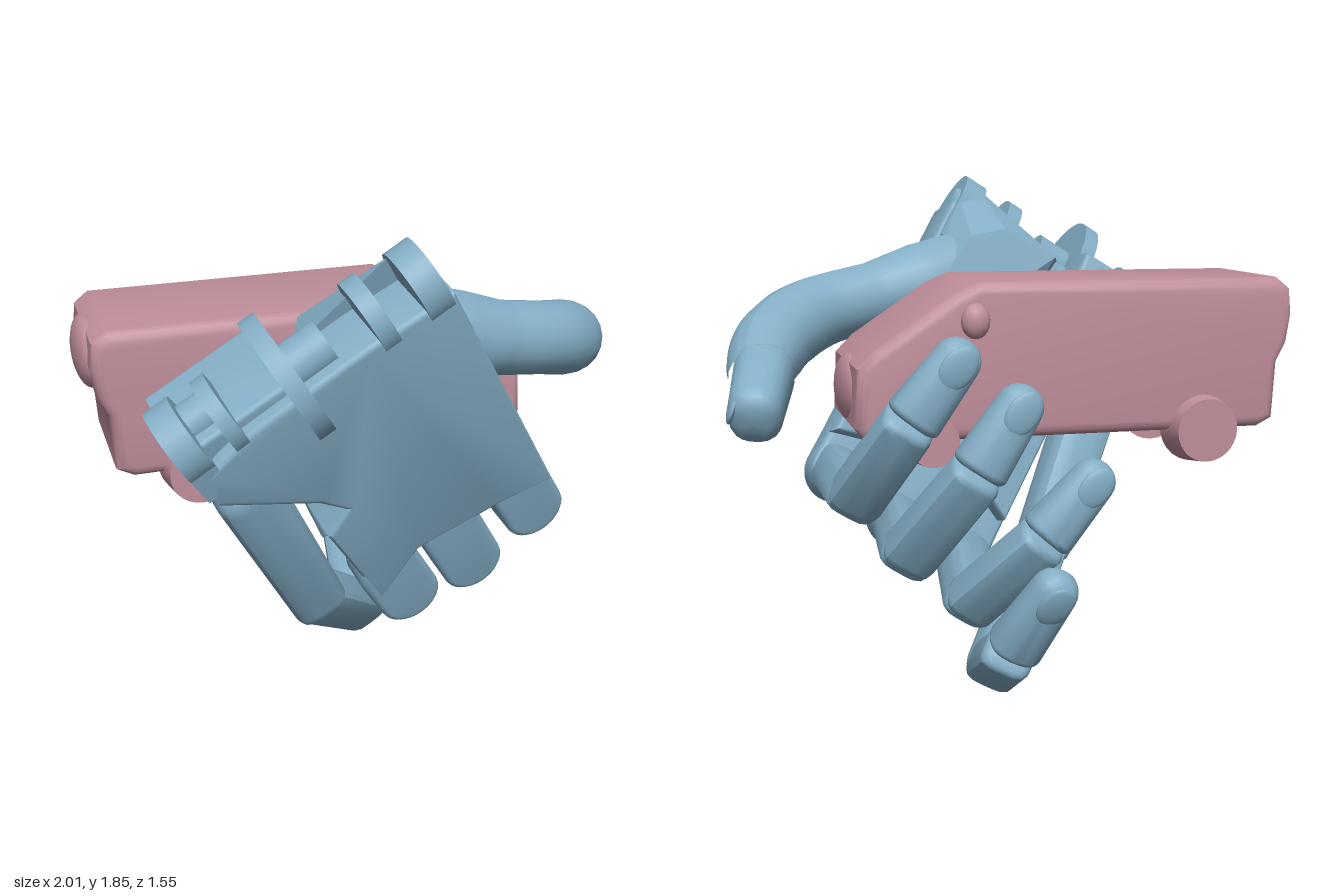
import * as THREE from 'three';
import { mergeVertices, toCreasedNormals } from 'three/addons/utils/BufferGeometryUtils.js';
import { ConvexGeometry } from 'three/addons/geometries/ConvexGeometry.js';

const V = (x, y, z) => new THREE.Vector3(x, y, z);
const blue = new THREE.MeshStandardMaterial({ color: 0x84aec6 });
const pink = new THREE.MeshStandardMaterial({ color: 0xc08f9b });

// palm frame: U runs along the wrist, W up the hand, N out of the back of the hand
const N = V(0.136, -0.248, 0.959).normalize();
const U = V(0.85, 0.53, 0.017).normalize();
const W = N.clone().cross(U).normalize();
const FACE = 0.222; // height of the back of the hand along N

function mesh(geometry, name, material, parent) {
  const m = new THREE.Mesh(geometry, material);
  m.name = name;
  parent.add(m);
  return m;
}

// point on the back of the hand at x, y, in palm coordinates
function onPalm([x, y]) {
  const p = V(x, y, (FACE - N.x * x - N.y * y) / N.z);
  return new THREE.Vector2(p.dot(U), p.dot(W));
}

// plate cut to an outline, its outer face `drop` below the back of the hand
function plate(shape, depth, drop = 0) {
  const bevel = 0.02;
  const g = new THREE.ExtrudeGeometry(shape, {
    depth: depth - 2 * bevel, bevelEnabled: true, bevelThickness: bevel,
    bevelSize: bevel, bevelOffset: -bevel, bevelSegments: 3, curveSegments: 16,
  });
  g.translate(0, 0, FACE - drop - depth + bevel);
  return toCreasedNormals(g, 0.6);
}

// strip with round ends between two points of the palm
function lobe(a, b, r) {
  const p = onPalm(a), q = onPalm(b);
  const t = Math.atan2(q.y - p.y, q.x - p.x);
  const s = new THREE.Shape();
  s.absarc(q.x, q.y, r, t - Math.PI / 2, t + Math.PI / 2, false);
  s.absarc(p.x, p.y, r, t + Math.PI / 2, t + Math.PI * 1.5, false);
  s.closePath();
  return s;
}

// bone with a squarish section, tapering from radius ra at a to rb at b
function bone(a, b, ra, rb, side, roundA = 0.5, roundB = 0.5, square = 4) {
  const axis = b.clone().sub(a), len = axis.length();
  axis.normalize();
  const pts = [];
  for (let i = 0; i <= 5; i++) {
    const t = (i / 5) * Math.PI / 2;
    pts.push(new THREE.Vector2(i ? ra * (1 - roundA + roundA * Math.sin(t)) : 0, -ra * roundA * Math.cos(t)));
  }
  for (let i = 0; i <= 5; i++) {
    const t = (i / 5) * Math.PI / 2;
    pts.push(new THREE.Vector2(i < 5 ? rb * (1 - roundB + roundB * Math.cos(t)) : 0, len + rb * roundB * Math.sin(t)));
  }
  let g = new THREE.LatheGeometry(pts, 24);
  g.deleteAttribute('uv');
  g.deleteAttribute('normal');
  const pos = g.attributes.position;
  for (let i = 0; i < pos.count; i++) {
    const x = pos.getX(i), z = pos.getZ(i), r = Math.hypot(x, z);
    if (r < 1e-6) continue;
    const k = Math.pow(Math.abs(x / r) ** square + Math.abs(z / r) ** square, -1 / square);
    pos.setX(i, x * k * 1.05);
    pos.setZ(i, z * k * 0.92);
  }
  g = mergeVertices(g, 1e-5);
  const across = side.clone().addScaledVector(axis, -side.dot(axis)).normalize();
  const out = across.clone().cross(axis);
  g.applyMatrix4(new THREE.Matrix4().makeBasis(across, axis, out).setPosition(a));
  return toCreasedNormals(g, 0.6);
}

// flat oval nail lying on the outside of a fingertip
function nail(a, b, outward, r, parent) {
  const axis = b.clone().sub(a).normalize();
  const out = outward.clone().addScaledVector(axis, -outward.dot(axis)).normalize();
  const g = new THREE.SphereGeometry(1, 20, 12);
  g.scale(r * 0.72, r, r * 0.2);
  const centre = b.clone().addScaledVector(axis, -r * 0.2).addScaledVector(out, r * 0.84);
  g.applyMatrix4(new THREE.Matrix4().makeBasis(axis.clone().cross(out), axis, out).setPosition(centre));
  mesh(g, 'nail', blue, parent);
}

function makePalm() {
  const palm = new THREE.Group();
  palm.name = 'palm';
  palm.applyMatrix4(new THREE.Matrix4().makeBasis(U, W, N));
  const outline = [[0.1, 1.7], [0.62, 0.87], [0.4, 0.8], [0.1, 0.68], [-0.03, 0.48], [-0.26, 0.83],
    [-0.2, 0.93], [-0.3, 0.98], [-0.66, 1.06], [-0.69, 1.18], [-0.56, 1.31], [-0.18, 1.55]];
  mesh(plate(new THREE.Shape(outline.map(onPalm)), 0.24), 'palmPlate', blue, palm);
  // knuckle lobes
  [[[0.46, 0.9], [0.575, 0.725]], [[0.23, 0.72], [0.345, 0.535]], [[0, 0.6], [0.095, 0.45]]].forEach(([a, b]) =>
    mesh(plate(lobe(a, b, 0.118), 0.15, 0.002), 'knuckle', blue, palm));
  // pad on the inside of the wrist
  const heel = [[-0.76, 1.23], [-0.38, 1.46], [-0.24, 1.22], [-0.58, 1.04]];
  mesh(plate(new THREE.Shape(heel.map(onPalm)), 0.35, 0.05), 'heelPad', blue, palm);
  // wedge that carries the thumb
  const wide = [[-0.34, 1.46], [-0.03, 1.74], [0.07, 1.75], [0.45, 1.12], [0.05, 1.0]];
  const narrow = [[-0.24, 1.44], [-0.04, 1.55], [0.1, 1.53], [0.26, 1.32], [0.05, 1.28]];
  const corners = [[wide, 0.2], [narrow, 0.4]].flatMap(([ring, d]) => ring.map(p => {
    const q = onPalm(p);
    return V(q.x, q.y, FACE - d);
  }));
  mesh(new ConvexGeometry(corners), 'thumbMount', blue, palm);
  // wrist hinge: lugs on webs, one large disc, and short spacers
  const hinge = (x, radius, width, sink, name) => {
    const q = onPalm([x, 1.25 + (x + 0.72) * 0.565]);
    const m = mesh(new THREE.CylinderGeometry(radius, radius, width, 36), name, blue, palm);
    m.rotation.z = Math.PI / 2;
    m.position.set(q.x, q.y, FACE - sink);
    return q;
  };
  [[0.04, 0.09], [-0.12, 0.06], [-0.6, 0.05], [-0.73, 0.09]].forEach(([x, w]) => {
    const q = hinge(x, 0.135, w, 0.125, 'wristLug');
    const web = mesh(new THREE.BoxGeometry(w, 0.16, 0.26), 'lugWeb', blue, palm);
    web.position.set(q.x, q.y - 0.09, FACE - 0.132);
  });
  hinge(-0.4, 0.22, 0.06, 0.1, 'wristDisc');
  hinge(-0.32, 0.08, 0.14, 0.13, 'wristSpacer');
  hinge(-0.67, 0.07, 0.14, 0.17, 'wristSpacer');
  return palm;
}

function makeFinger(name, joints, r) {
  const g = new THREE.Group();
  g.name = name;
  const [a, b, c, d] = joints.map(p => V(...p));
  mesh(bone(a, b, r, r * 0.97, U, 0.9, 0.6), 'lowerBone', blue, g);
  mesh(bone(b, c, r * 0.97, r * 0.9, U, 0.6, 0.4), 'middleBone', blue, g);
  mesh(bone(c.clone().lerp(d, 0.12), d.clone().lerp(c, 0.2), r * 0.97, r * 0.8, U, 0.3, 1, 2.6), 'fingertip', blue, g);
  nail(c, d.clone().lerp(c, 0.2), V(-0.1, 0.1, -1), r * 0.84, g);
  return g;
}

function makeThumb() {
  const g = new THREE.Group();
  g.name = 'thumb';
  const path = [[0.05, 1.47, 0.37], [0.22, 1.44, 0.32], [0.43, 1.4, 0.28], [0.64, 1.355, 0.21],
    [0.79, 1.29, 0.06], [0.865, 1.22, -0.1], [0.88, 1.18, -0.19]];
  const radii = [0.17, 0.16, 0.13, 0.13, 0.138, 0.133, 0.108];
  const curve = new THREE.CatmullRomCurve3(path.map(p => V(...p)));
  const tube = new THREE.TubeGeometry(curve, 48, 1, 20);
  // taper the tube along its length
  const { position, uv } = tube.attributes;
  for (let i = 0; i < position.count; i++) {
    const t = uv.getX(i), c = curve.getPointAt(t);
    const f = Math.min(t * 6, 5.999), k = Math.floor(f);
    const r = THREE.MathUtils.lerp(radii[k], radii[k + 1], f - k);
    const p = V().fromBufferAttribute(position, i).sub(c).multiplyScalar(r).add(c);
    position.setXYZ(i, p.x, p.y, p.z);
  }
  tube.computeVertexNormals();
  mesh(tube, 'thumbBase', blue, g);
  const a = V(0.868, 1.19, -0.18), b = V(0.915, 1.1, -0.375);
  mesh(bone(a, b, 0.11, 0.097, V(0, 1, -0.3), 0.4, 0.7, 2.6), 'thumbTip', blue, g);
  nail(a, b, V(1, 0.3, 0), 0.088, g);
  return g;
}

function makeVan() {
  const van = new THREE.Group();
  van.name = 'van';
  const side = [[-0.9, 1.0], [-0.91, 1.2], [-0.945, 1.27], [-0.96, 1.37], [-0.95, 1.46], [-0.9, 1.5], [0.18, 1.505],
    [0.26, 1.47], [0.53, 1.29], [0.59, 1.23], [0.6, 1.03], [0.56, 0.98], [-0.84, 0.97]];
  const body = new THREE.ExtrudeGeometry(new THREE.Shape(side.map(p => new THREE.Vector2(...p))), {
    depth: 0.45, bevelEnabled: true, bevelThickness: 0.045, bevelSize: 0.04, bevelOffset: -0.04, bevelSegments: 4,
  });
  body.translate(0, 0, -0.38);
  mesh(toCreasedNormals(body, 0.7), 'vanBody', pink, van);
  // bulges at the nose and the tail
  [['nose', 0.57, 1.13], ['tail', -0.94, 1.36]].forEach(([name, x, y]) => {
    const bulge = mesh(new THREE.SphereGeometry(1, 20, 14), name, pink, van);
    bulge.scale.set(0.055, 0.12, 0.2);
    bulge.position.set(x, y, -0.15);
  });
  // wheels and mirrors on both sides
  for (const s of [-1, 1]) {
    for (const [x, r] of [[-0.62, 0.13], [0.34, 0.1]]) {
      const wheel = mesh(new THREE.CylinderGeometry(r * 0.85, r, 0.12, 28), 'wheel', pink, van);
      wheel.rotation.x = s * Math.PI / 2;
      wheel.position.set(x, 0.98, -0.155 + s * (r > 0.11 ? 0.26 : 0.22));
    }
    const mirror = mesh(new THREE.SphereGeometry(1, 14, 10), 'mirror', pink, van);
    mirror.scale.set(0.05, 0.06, 0.04);
    mirror.position.set(0.2, 1.38, -0.155 + s * 0.28);
  }
  return van;
}

export function createModel() {
  const model = new THREE.Group();
  model.name = 'handHoldingVan';
  model.add(makePalm(), makeThumb(), makeVan());
  // bone of the palm behind the little finger, set back from the plate
  mesh(bone(V(-0.53, 1.03, 0.43), V(-0.225, 0.43, 0.17), 0.108, 0.1, U, 0.9, 0.9), 'littleFingerBase', blue, model);
  model.add(
    makeFinger('indexFinger', [[0.565, 0.76, 0.2], [0.58, 0.785, -0.3], [0.45, 1.06, -0.53], [0.25, 1.32, -0.55]], 0.094),
    makeFinger('middleFinger', [[0.34, 0.56, 0.2], [0.41, 0.59, -0.36], [0.24, 0.89, -0.57], [0.05, 1.17, -0.57]], 0.094),
    makeFinger('ringFinger', [[0.1, 0.42, 0.2], [0.2, 0.405, -0.38], [0.02, 0.66, -0.59], [-0.2, 0.91, -0.6]], 0.09),
    makeFinger('littleFinger', [[-0.21, 0.42, 0.16], [0.08, 0.1, -0.23], [0.12, 0.27, -0.56], [-0.03, 0.58, -0.71]], 0.094),
  );
  return model;
}
